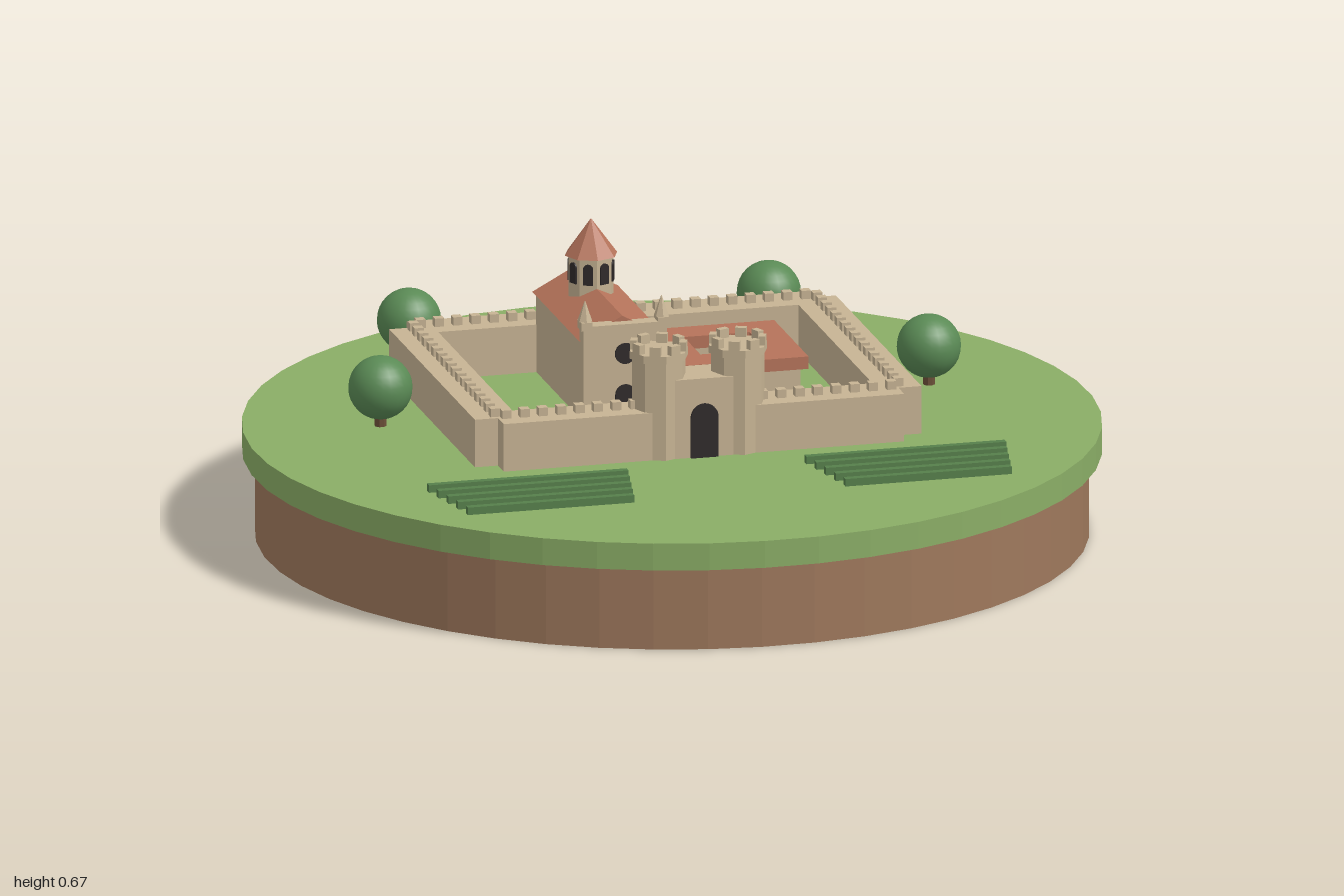
import * as THREE from 'three';

const flat = (name, color) => {
  const m = new THREE.MeshStandardMaterial({ color });
  m.name = name;
  return m;
};

export function createModel() {
  const grass = flat('grass', 0x8aad66);
  const earth = flat('earth', 0x9e785c);
  const stone = flat('stone', 0xc6b393);
  const tile = flat('roof tile', 0xb5735a);
  const dark = flat('dark opening', 0x2f2a2a);
  const leaf = flat('foliage', 0x5a8a55);
  const crop = flat('crop', 0x567f4b);
  const bark = flat('bark', 0x6b4e38);

  const model = new THREE.Group();
  const site = new THREE.Group(); // everything aligned with the turned compound
  site.name = 'compound';
  site.position.set(0.048, 0, -0.136);
  site.rotation.y = THREE.MathUtils.degToRad(-20);
  model.add(site);

  const G = 0.265; // ground level
  const add = (parent, name, geo, mat, x = 0, y = 0, z = 0, ry = 0) => {
    const mesh = new THREE.Mesh(geo, mat);
    mesh.name = name;
    mesh.position.set(x, y, z);
    mesh.rotation.y = ry;
    parent.add(mesh);
    return mesh;
  };
  // box and faceted drum given by bottom and top heights
  const box = (name, mat, x, z, w, d, y0, y1, ry = 0, parent = site) =>
    add(parent, name, new THREE.BoxGeometry(w, y1 - y0, d), mat, x, (y0 + y1) / 2, z, ry);
  const drum = (name, mat, x, z, r0, r1, y0, y1, n = 8, parent = site) =>
    add(parent, name, new THREE.CylinderGeometry(r1, r0, y1 - y0, n).toNonIndexed(), mat, x, (y0 + y1) / 2, z)
      .geometry.computeVertexNormals();

  // island
  drum('earthBase', earth, 0, 0, 0.97, 0.97, 0, 0.2, 48, model);
  drum('grassTop', grass, 0, 0, 1, 1, 0.2, G, 48, model);

  // perimeter walls with merlons
  const WX = 0.485, WZ = 0.385, T = 0.104;
  const merlons = (length, place) => {
    const n = Math.round(length / 0.044);
    for (let i = 0; i < n; i++) place(((i + 0.5) / n - 0.5) * length);
  };
  for (const s of [-1, 1]) {
    box('longWall', stone, 0, s * WZ, 2 * WX - 0.007, T, G, 0.38);
    box('sideWall', stone, s * WX, 0, T, 2 * WZ, G, 0.38);
    merlons(2 * WX, t => box('merlon', stone, t, s * WZ, 0.022, 0.022, 0.38, 0.4));
    merlons(2 * WZ, t => box('merlon', stone, s * WX, t, 0.022, 0.022, 0.38, 0.4));
  }

  // arched opening plate, base at y = 0
  const archPlate = (w, h) => {
    const r = w / 2, s = new THREE.Shape();
    s.moveTo(-r, 0);
    s.lineTo(r, 0);
    s.lineTo(r, h - r);
    s.absarc(0, h - r, r, 0, Math.PI, false);
    s.closePath();
    return new THREE.ExtrudeGeometry(s, { depth: 0.006, bevelEnabled: false, curveSegments: 8 });
  };

  // gatehouse
  box('gateBlock', stone, 0, WZ, 0.14, 0.11, G, 0.455);
  add(site, 'gateArch', archPlate(0.066, 0.13), dark, 0, G, WZ + 0.055);
  for (const s of [-1, 1]) {
    const x = s * 0.095;
    drum('gateTower', stone, x, WZ, 0.064, 0.064, G, 0.5);
    drum('towerParapet', stone, x, WZ, 0.07, 0.07, 0.5, 0.518);
    for (let i = 0; i < 8; i++) {
      const a = (i + 0.5) * Math.PI / 4;
      box('towerMerlon', stone, x + Math.sin(a) * 0.058, WZ + Math.cos(a) * 0.058, 0.026, 0.016, 0.518, 0.54, a);
    }
  }

  // church: nave, gabled roof, facade
  const CX = -0.102;
  box('nave', stone, CX, -0.126, 0.19, 0.42, G, 0.46);
  const gable = new THREE.Shape([[-0.103, 0], [0.103, 0], [0, 0.055]].map(p => new THREE.Vector2(...p)));
  add(site, 'naveRoof', new THREE.ExtrudeGeometry(gable, { depth: 0.425, bevelEnabled: false }), tile, CX, 0.458, -0.341);
  box('facade', stone, CX, 0.092, 0.2, 0.036, G, 0.5);
  add(site, 'churchDoor', archPlate(0.048, 0.09), dark, CX, G, 0.109);
  add(site, 'roundWindow', new THREE.CylinderGeometry(0.025, 0.025, 0.006, 20), dark, CX, 0.43, 0.112).rotation.x = Math.PI / 2;
  for (const s of [-1, 1]) {
    const x = CX + s * 0.092;
    box('pinnacleBase', stone, x, 0.092, 0.026, 0.038, 0.49, 0.51);
    drum('pinnacle', stone, x, 0.092, 0.018, 0.001, 0.51, 0.558, 6);
  }

  // crossing lantern with eight windows
  const LZ = -0.198;
  drum('lanternDrum', stone, CX, LZ, 0.054, 0.054, 0.46, 0.583);
  drum('lanternRoof', tile, CX, LZ, 0.063, 0.001, 0.583, 0.668);
  for (let i = 0; i < 8; i++) {
    const a = (i + 0.5) * Math.PI / 4, r = 0.054 * Math.cos(Math.PI / 8) - 0.002;
    add(site, 'lanternWindow', archPlate(0.024, 0.05), dark, CX + Math.sin(a) * r, 0.521, LZ + Math.cos(a) * r, a);
  }

  // cloister: square ring of walls under a ring roof
  const ring = (w, d, iw, id, h) => {
    const rect = (P, a, b) => new P([[-a, -b], [a, -b], [a, b], [-a, b]].map(p => new THREE.Vector2(p[0] / 2, p[1] / 2)));
    const s = rect(THREE.Shape, w, d);
    s.holes.push(rect(THREE.Path, iw, id));
    return new THREE.ExtrudeGeometry(s, { depth: h, bevelEnabled: false }).rotateX(-Math.PI / 2);
  };
  add(site, 'cloisterWalls', ring(0.29, 0.28, 0.18, 0.17, 0.075), stone, 0.195, G, -0.105);
  add(site, 'cloisterRoof', ring(0.32, 0.31, 0.157, 0.147, 0.03), tile, 0.195, 0.34, -0.105);

  // crop rows, shorter toward the front
  for (const s of [-1, 1])
    for (let i = 0; i < 5; i++)
      box('cropRow', crop, s * 0.454, 0.551 + i * 0.05, 0.48 - i * 0.02, 0.018, G, 0.283);

  // round trees
  for (const [x, z] of [[-0.2, -0.78], [0.615, -0.487], [-0.572, -0.364], [0.668, 0.086]]) {
    drum('treeTrunk', bark, x, z, 0.014, 0.014, G, 0.32, 8, model);
    add(model, 'treeCrown', new THREE.SphereGeometry(0.075, 24, 16), leaf, x, 0.358, z);
  }
  return model;
}
